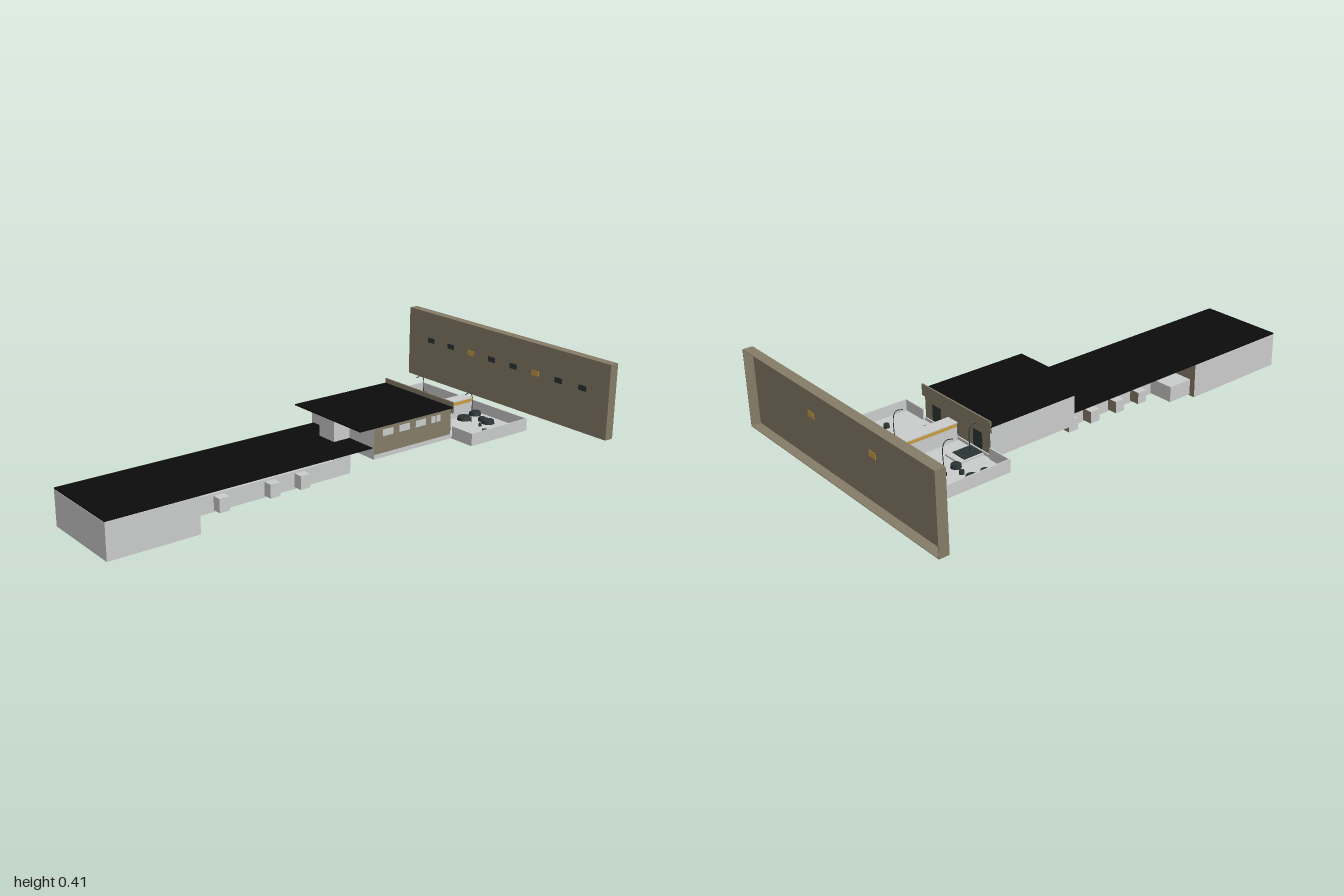
import * as THREE from 'three';

export function createModel() {
  const model = new THREE.Group();
  const mat = (name, color, side = THREE.FrontSide) => {
    const m = new THREE.MeshStandardMaterial({ color, side });
    m.name = name;
    return m;
  };
  const grey = mat('light grey', 0xcacbcb);
  const brown = mat('taupe', 0x857c67);
  const black = mat('roof black', 0x0c0c0c);
  const dark = mat('dark slate', 0x2b3434);
  const amber = mat('amber', 0xc99b42);

  // Box given by its lower and upper limits on each axis
  const box = (name, m, x0, x1, y0, y1, z0, z1) => {
    const mesh = new THREE.Mesh(new THREE.BoxGeometry(x1 - x0, y1 - y0, z1 - z0), m);
    mesh.position.set((x0 + x1) / 2, (y0 + y1) / 2, (z0 + z1) / 2);
    mesh.name = name;
    model.add(mesh);
    return mesh;
  };
  // Box side order: +x, -x, +y, -y, +z, -z
  const brownEnd = [brown, grey, grey, grey, grey, grey];

  // Long low wing: stepped end block, corridor and floating flat roof
  box('endBlockFront', grey, -1, -0.64, 0, 0.14, -0.05, 0.18);
  box('endBlockBack', brownEnd, -1, -0.53, 0, 0.14, -0.18, -0.045);
  box('corridor', grey, -0.64, 0.12, 0, 0.07, -0.045, 0.045);
  box('lowRoof', black, -1, 0.12, 0.141, 0.145, -0.18, 0.18);
  box('backAnnex', grey, -0.53, -0.42, 0.005, 0.07, -0.155, -0.045);

  // Small bays along both sides of the corridor
  const bayMats = [brown, grey, grey, grey, grey, grey];
  for (const x of [-0.478, -0.258, -0.122])
    box('frontBay', bayMats, x - 0.022, x + 0.022, 0.008, 0.062, 0.045, 0.083);
  for (const x of [-0.33, -0.21, -0.08, 0.03])
    box('backBay', bayMats, x - 0.022, x + 0.022, 0.008, 0.057, -0.09, -0.045);

  // Raised hall carried by a pillar
  box('pillar', grey, 0.04, 0.12, 0, 0.227, -0.045, 0.045);
  box('hallFloor', grey, 0.115, 0.505, 0.1, 0.118, -0.19, 0.19);
  box('hall', [brown, grey, grey, grey, brown, grey], 0.115, 0.5, 0.118, 0.226, -0.19, 0.19);
  box('hallRoof', black, 0.04, 0.505, 0.226, 0.231, -0.2, 0.2);
  box('roofScreen', brown, 0.5, 0.506, 0.205, 0.25, -0.2, 0.2);

  // Hall windows
  for (const [x0, x1] of [[0.155, 0.207], [0.237, 0.288], [0.318, 0.37], [0.398, 0.418], [0.424, 0.445]])
    box('hallWindow', grey, x0, x1, 0.184, 0.21, 0.189, 0.192);
  for (const z of [-0.12, 0.12])
    box('terraceDoor', dark, 0.499, 0.502, 0.12, 0.185, z - 0.025, z + 0.025);

  // Terrace tray
  box('terraceFloor', grey, 0.505, 0.805, 0.1, 0.106, -0.305, 0.305);
  for (const s of [-1, 1])
    box('terraceSideWall', grey, 0.505, 0.805, 0.1, 0.15, s * 0.3025 - 0.0025, s * 0.3025 + 0.0025);
  box('terraceEndWall', grey, 0.8, 0.805, 0.1, 0.15, -0.305, 0.305);
  for (const s of [-1, 1])
    box('terraceInnerWall', grey, 0.505, 0.51, 0.1, 0.15, s * 0.25 - 0.055, s * 0.25 + 0.055);

  // Long bar with an amber band
  box('bar', grey, 0.51, 0.765, 0.106, 0.16, -0.013, 0.038);
  box('barBand', amber, 0.51, 0.765, 0.16, 0.174, -0.013, 0.038);
  box('barTop', grey, 0.508, 0.767, 0.174, 0.178, -0.015, 0.04);

  // Small pool in its frame
  box('poolFrame', grey, 0.507, 0.61, 0.106, 0.113, -0.16, -0.075);
  box('poolWater', dark, 0.507, 0.585, 0.112, 0.116, -0.152, -0.085);

  // Planting and seats: x, z, radius
  const plants = [
    [0.58, -0.26, 0.017], [0.637, -0.263, 0.024], [0.765, -0.264, 0.024], [0.63, -0.165, 0.02],
    [0.642, -0.213, 0.01], [0.72, -0.033, 0.02], [0.537, 0.045, 0.017], [0.545, 0.12, 0.018],
    [0.768, 0.052, 0.026], [0.69, 0.07, 0.029], [0.735, 0.16, 0.027], [0.738, 0.125, 0.018],
    [0.643, 0.235, 0.012], [0.682, 0.17, 0.006],
  ];
  for (const [x, z, r] of plants) {
    const plant = new THREE.Mesh(new THREE.CylinderGeometry(r * 0.9, r, 0.014, 12), dark);
    plant.position.set(x, 0.113, z);
    plant.name = 'planter';
    model.add(plant);
  }
  box('bench', dark, 0.688, 0.77, 0.106, 0.12, -0.192, -0.164);

  // Lamps with bent tops
  for (const [x, z] of [[0.69, -0.18], [0.69, 0.11], [0.535, -0.12]]) {
    const h = x > 0.6 ? 0.232 : 0.215;
    const path = new THREE.CatmullRomCurve3([
      new THREE.Vector3(x, 0.106, z), new THREE.Vector3(x, h - 0.015, z),
      new THREE.Vector3(x - 0.012, h, z), new THREE.Vector3(x - 0.04, h - 0.004, z),
    ]);
    const lamp = new THREE.Mesh(new THREE.TubeGeometry(path, 16, 0.0015, 6), dark);
    lamp.name = 'lamp';
    model.add(lamp);
  }

  // Free-standing screen: thin panel with a rim, open towards +x
  const t = 0.002;
  box('screenPanel', brown, 0.96, 0.963, 0.1, 0.405, -0.575, 0.575);
  box('screenTop', brown, 0.96, 1, 0.405 - t, 0.405, -0.575, 0.575);
  box('screenBottom', brown, 0.96, 1, 0.1, 0.1 + t, -0.575, 0.575);
  box('screenBackEnd', brown, 0.96, 1, 0.1, 0.405, -0.575, -0.575 + t);
  box('screenFrontEnd', brown, 0.96, 1, 0.1, 0.405, 0.575 - t, 0.575);

  // Screen openings: two amber ones show on both faces
  for (const z of [-0.18, 0.193])
    box('amberOpening', amber, 0.9585, 0.9645, 0.27, 0.292, z - 0.02, z + 0.02);
  for (const z of [-0.43, -0.305, -0.055, 0.07, 0.318, 0.443])
    box('darkOpening', dark, 0.9585, 0.962, 0.27, 0.292, z - 0.02, z + 0.02);

  return model;
}
